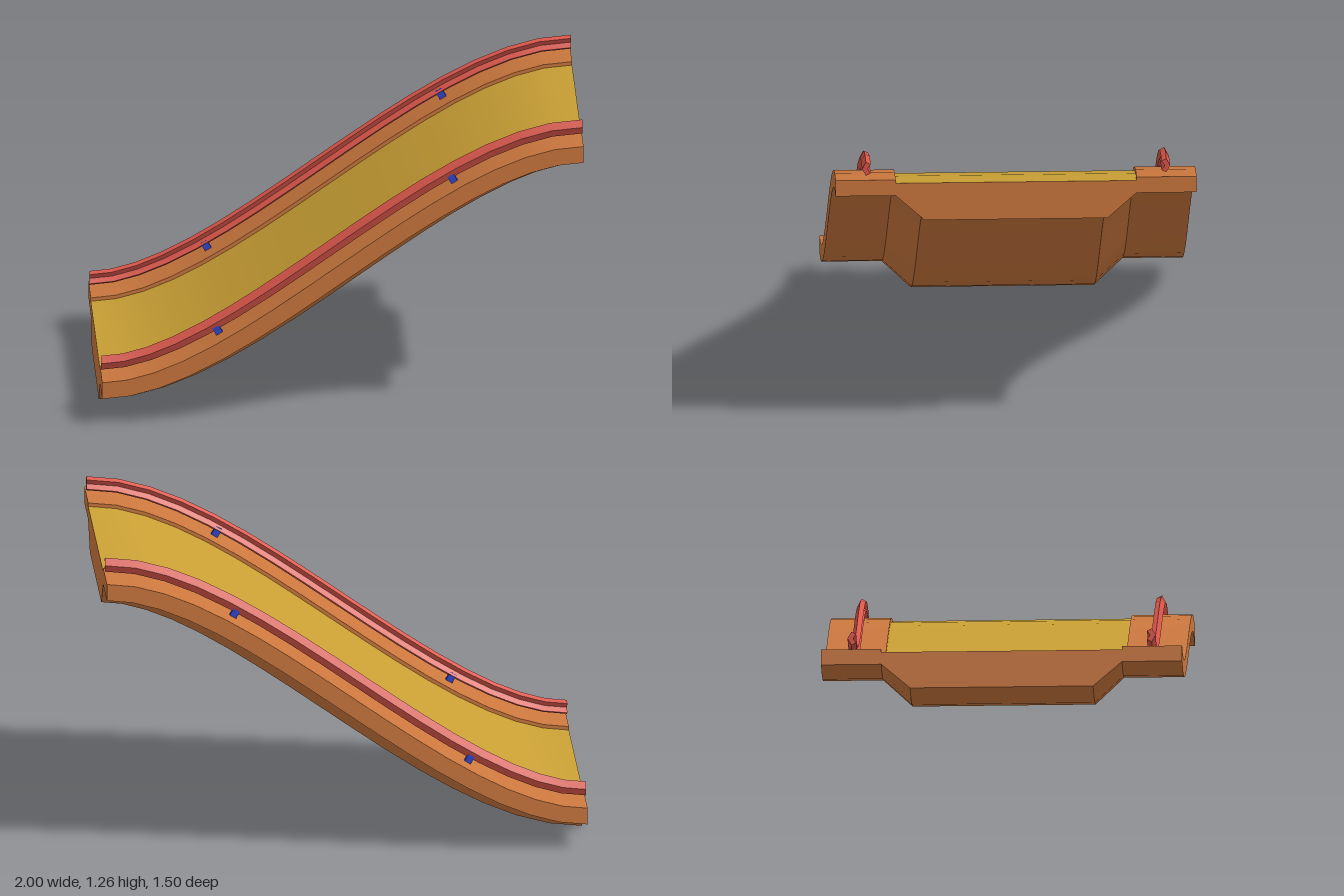
import * as THREE from 'three';

const STEPS = 16;
const PIVOT = 0.14; // height in the section that follows the guide curve exactly

// S-shaped guide curve, level at both ends
const path = new THREE.CubicBezierCurve(
  new THREE.Vector2(-1, 0), new THREE.Vector2(-0.42, 0),
  new THREE.Vector2(0.42, 1), new THREE.Vector2(1, 1));

// Place a section point (z, height) square to the curve at parameter t
function place(t, [z, h]) {
  const p = path.getPoint(t), d = path.getTangent(t), o = h - PIVOT;
  return [p.x - d.y * o, p.y + PIVOT + d.x * o, z];
}

// Sweep a counter-clockwise (z, height) section along the curve.
// Each side is its own strip, so it is smooth lengthwise with sharp edges between.
function sweep(section, { skip = [], closed = true } = {}) {
  const pos = [], index = [];
  const n = section.length;
  for (let j = 0; j < (closed ? n : n - 1); j++) {
    if (skip.includes(j)) continue;
    const base = pos.length / 3;
    for (let i = 0; i <= STEPS; i++) {
      pos.push(...place(i / STEPS, section[j]), ...place(i / STEPS, section[(j + 1) % n]));
      if (i === STEPS) break;
      const a = base + i * 2;
      index.push(a, a + 2, a + 1, a + 1, a + 2, a + 3);
    }
  }
  // End caps
  if (closed) {
    const tris = THREE.ShapeUtils.triangulateShape(
      section.map(([z, h]) => new THREE.Vector2(z, h)), []);
    for (const t of [0, 1]) {
      const base = pos.length / 3;
      section.forEach(s => pos.push(...place(t, s)));
      for (const [a, b, c] of tris) {
        index.push(base + a, base + (t ? c : b), base + (t ? b : c));
      }
    }
  }
  const g = new THREE.BufferGeometry();
  g.setAttribute('position', new THREE.Float32BufferAttribute(pos, 3));
  g.setIndex(index);
  g.computeVertexNormals();
  return g;
}

export function createModel() {
  const group = new THREE.Group();
  const mat = (color, side = THREE.FrontSide) => new THREE.MeshStandardMaterial({ color, side });
  const orange = mat(0xcc783e), yellow = mat(0xcaa035, THREE.DoubleSide);
  const red = mat(0xdc564a), blue = mat(0x3346cc);
  const add = (name, geometry, material) => {
    const m = new THREE.Mesh(geometry, material);
    m.name = name;
    group.add(m);
    return m;
  };

  // Ramp body: two kerbs with a deeper trough between; the floor side is left to the road
  const half = [[0.5, 0.165], [0.5, 0.18], [0.75, 0.18], [0.75, 0.11], [0.5, 0.11], [0.38, 0]];
  const body = [...half.map(([z, h]) => [-z, h]), ...[...half].reverse()];
  add('rampBody', sweep(body, { skip: [body.length - 1] }), orange);

  // Road surface
  add('roadSurface', sweep([[0.5, 0.165], [-0.5, 0.165]], { closed: false }), yellow);

  // Guard rails with a bent section, each on two small posts
  const rail = [[0.624, 0.26], [0.604, 0.25], [0.617, 0.23], [0.604, 0.21], [0.624, 0.2], [0.64, 0.23]];
  for (const [side, s] of [['left', -1], ['right', 1]]) {
    const section = s > 0 ? rail : rail.map(([z, h]) => [-z, h]).reverse();
    add(s > 0 ? 'frontGuardRail' : 'backGuardRail', sweep(section), red);
    for (const t of [0.268, 0.732]) {
      const post = add('railPost', new THREE.BoxGeometry(0.03, 0.05, 0.022), blue);
      const d = path.getTangent(t);
      post.position.set(...place(t, [s * 0.62, 0.195]));
      post.rotation.z = Math.atan2(d.y, d.x);
    }
  }
  return group;
}
